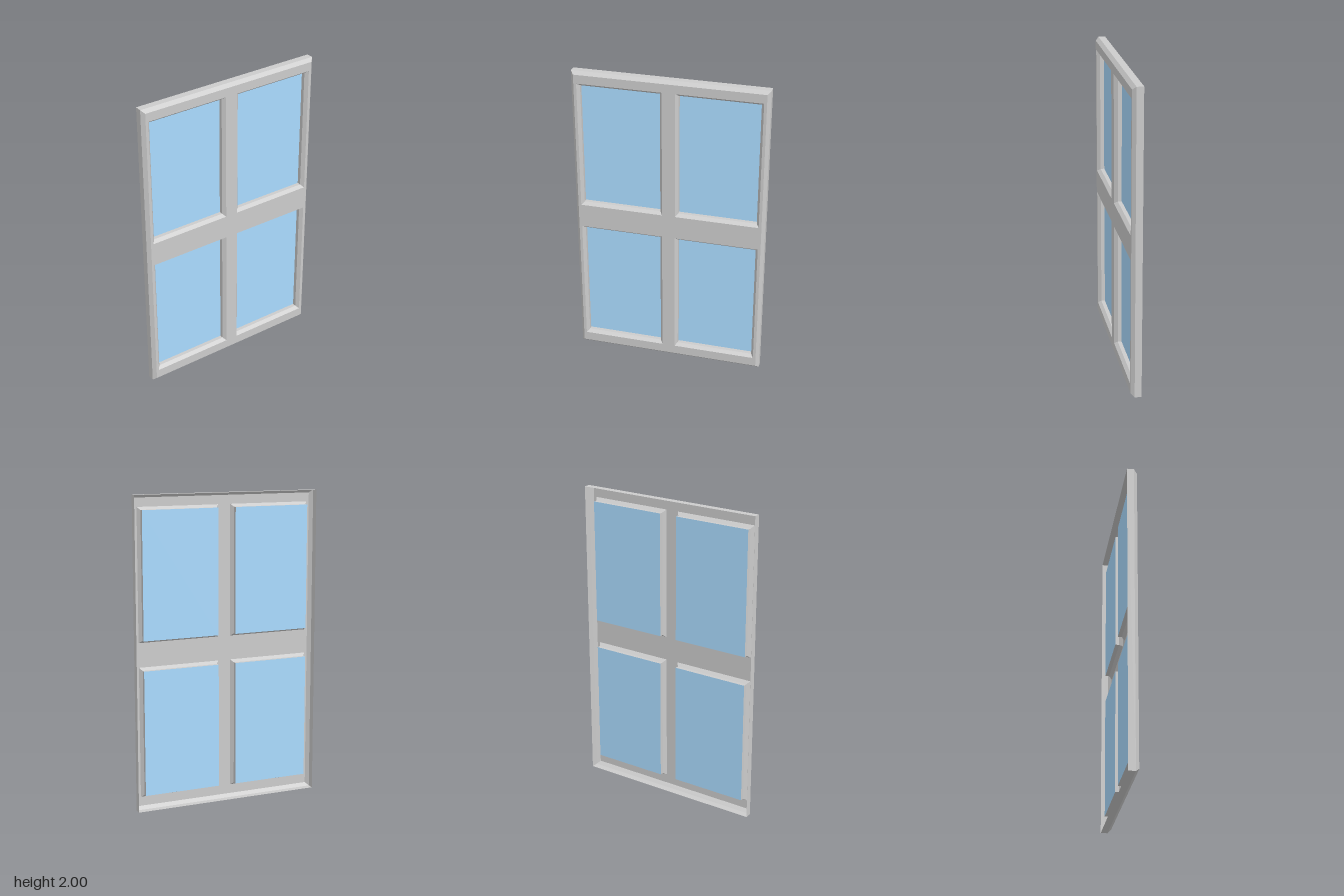
import * as THREE from 'three';

const FRONT = 0.033, STEP = 0.011, GLASS = -0.014, BACK = -0.033;
const BEVEL = 0.02;

// Rectangle corners, counter-clockwise from the front, shrunk by an inset
function corners([x0, y0, x1, y1], inset = 0) {
  const l = x0 + inset, b = y0 + inset, r = x1 - inset, t = y1 - inset;
  return [[l, b], [r, b], [r, t], [l, t]];
}

// Flat-shaded bands joining successive rectangular rings [inset, z]
function rectLoft(rect, rings) {
  const pos = [];
  for (let k = 0; k < rings.length - 1; k++) {
    const p = corners(rect, rings[k][0]), q = corners(rect, rings[k + 1][0]);
    const zp = rings[k][1], zq = rings[k + 1][1];
    for (let i = 0; i < 4; i++) {
      const j = (i + 1) % 4;
      const a = [...p[i], zp], b = [...p[j], zp], c = [...q[j], zq], d = [...q[i], zq];
      pos.push(...a, ...b, ...c, ...a, ...c, ...d);
    }
  }
  const geo = new THREE.BufferGeometry();
  geo.setAttribute('position', new THREE.Float32BufferAttribute(pos, 3));
  geo.computeVertexNormals();
  return geo;
}

const points = (rect, inset) => corners(rect, inset).map(([x, y]) => new THREE.Vector2(x, y));

export function createModel() {
  const model = new THREE.Group();
  model.name = 'window';
  const frameMat = new THREE.MeshStandardMaterial({ color: 0xcccccc, side: THREE.DoubleSide, flatShading: true });
  const glassMat = new THREE.MeshStandardMaterial({ color: 0xaadbff, side: THREE.DoubleSide });
  const add = (name, geo, mat) => {
    const mesh = new THREE.Mesh(geo, mat);
    mesh.name = name;
    model.add(mesh);
    return mesh;
  };

  const outer = [-0.621, 0, 0.621, 2];
  const openings = [];
  for (const [x0, x1] of [[-0.583, -0.042], [0.042, 0.583]])
    for (const [y0, y1] of [[0.08, 0.923], [1.08, 1.923]]) openings.push([x0, y0, x1, y1]);

  // Front plate with four openings
  const plate = new THREE.Shape(points(outer, BEVEL));
  for (const o of openings) plate.holes.push(new THREE.Path(points(o, 0)));
  add('frontPlate', new THREE.ShapeGeometry(plate), frameMat).position.z = FRONT;

  // Bevelled outer rim, open at the back
  add('outerRim', rectLoft(outer, [[0, BACK], [0, STEP], [BEVEL, FRONT]]), frameMat);

  // Bevelled trim and glass in each opening
  const inset = 0.017;
  openings.forEach((o, i) => {
    add('paneTrim' + (i + 1), rectLoft(o, [[0, FRONT], [inset, STEP], [inset, GLASS]]), frameMat);
    add('glassPane' + (i + 1), new THREE.ShapeGeometry(new THREE.Shape(points(o, inset))), glassMat).position.z = GLASS;
  });

  return model;
}
